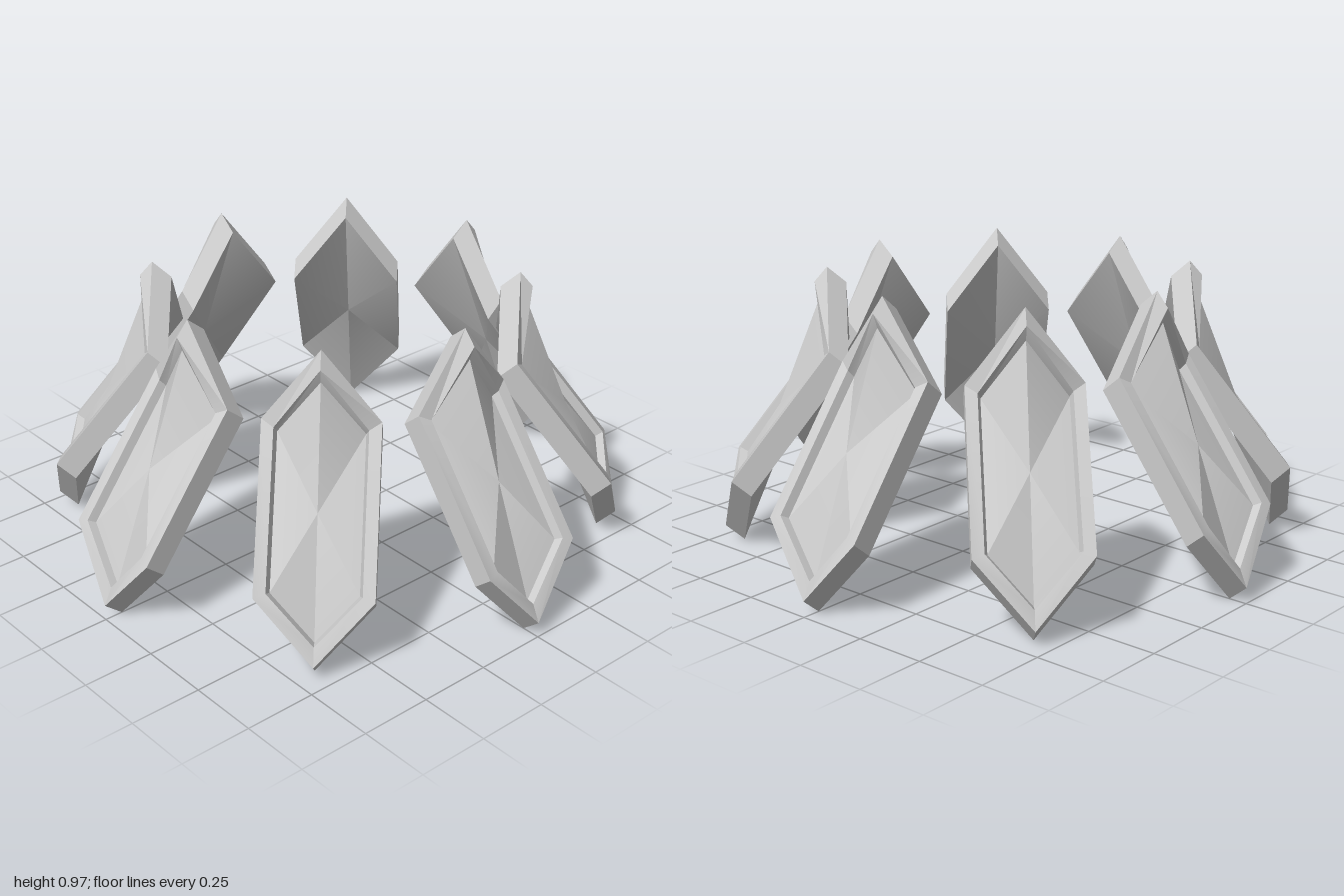
import * as THREE from 'three';
import { toCreasedNormals } from 'three/addons/utils/BufferGeometryUtils.js';

// Six-cornered loop, symmetric in x, counter-clockwise seen from outside (+z):
// top tip, upper left, lower left, bottom tip, lower right, upper right.
// Each argument is [y, z].
function hexLoop(halfWidth, top, upper, lower, bottom) {
  return [
    [0, ...top], [-halfWidth, ...upper], [-halfWidth, ...lower],
    [0, ...bottom], [halfWidth, ...lower], [halfWidth, ...upper],
  ];
}

// Band of quads between two loops
function band(out, a, b) {
  for (let i = 0; i < 6; i++) {
    const j = (i + 1) % 6;
    out.push(...a[i], ...a[j], ...b[j], ...a[i], ...b[j], ...b[i]);
  }
}

// Fan from the middle of the two tips to the loop
function cap(out, loop, flip) {
  const c = [0, (loop[0][1] + loop[3][1]) / 2, (loop[0][2] + loop[3][2]) / 2];
  for (let i = 0; i < 6; i++) {
    const p = loop[i], q = loop[(i + 1) % 6];
    out.push(...c, ...(flip ? q : p), ...(flip ? p : q));
  }
}

function toGeometry(points, crease) {
  const g = new THREE.BufferGeometry();
  g.setAttribute('position', new THREE.Float32BufferAttribute(points, 3));
  return toCreasedNormals(g, crease);
}

export function createModel() {
  const model = new THREE.Group();
  model.name = 'panelRing';
  const stone = new THREE.MeshStandardMaterial({ color: 0xcccccc });
  stone.name = 'pale grey';

  // Cross-sections of one leaning panel
  const outer = hexLoop(0.19, [0.975, 0.62], [0.727, 0.617], [0.28, 0.957], [0.055, 1.0]);
  const back = outer.map(([x, y, z]) => [x, y - 0.054, z - 0.064]);
  const inner = hexLoop(0.15, [0.925, 0.663], [0.705, 0.634], [0.293, 0.948], [0.115, 0.972]);
  const floor = hexLoop(0.14, [0.875, 0.645], [0.682, 0.615], [0.28, 0.922], [0.115, 0.945]);

  // Frame: back, edge, rim and recess wall
  const framePoints = [];
  band(framePoints, back, outer);
  band(framePoints, outer, inner);
  band(framePoints, inner, floor);
  cap(framePoints, back, true);
  const frameGeometry = toGeometry(framePoints, 0.45);

  // Sunken face
  const facePoints = [];
  cap(facePoints, floor, false);
  const faceGeometry = toGeometry(facePoints, 0.45);

  // Eight panels around the ring
  for (let i = 0; i < 8; i++) {
    const panel = new THREE.Group();
    panel.name = `panel${i + 1}`;
    const frame = new THREE.Mesh(frameGeometry, stone);
    frame.name = 'panelFrame';
    const face = new THREE.Mesh(faceGeometry, stone);
    face.name = 'sunkenFace';
    panel.add(frame, face);
    panel.rotation.y = (i * Math.PI) / 4;
    model.add(panel);
  }
  return model;
}
